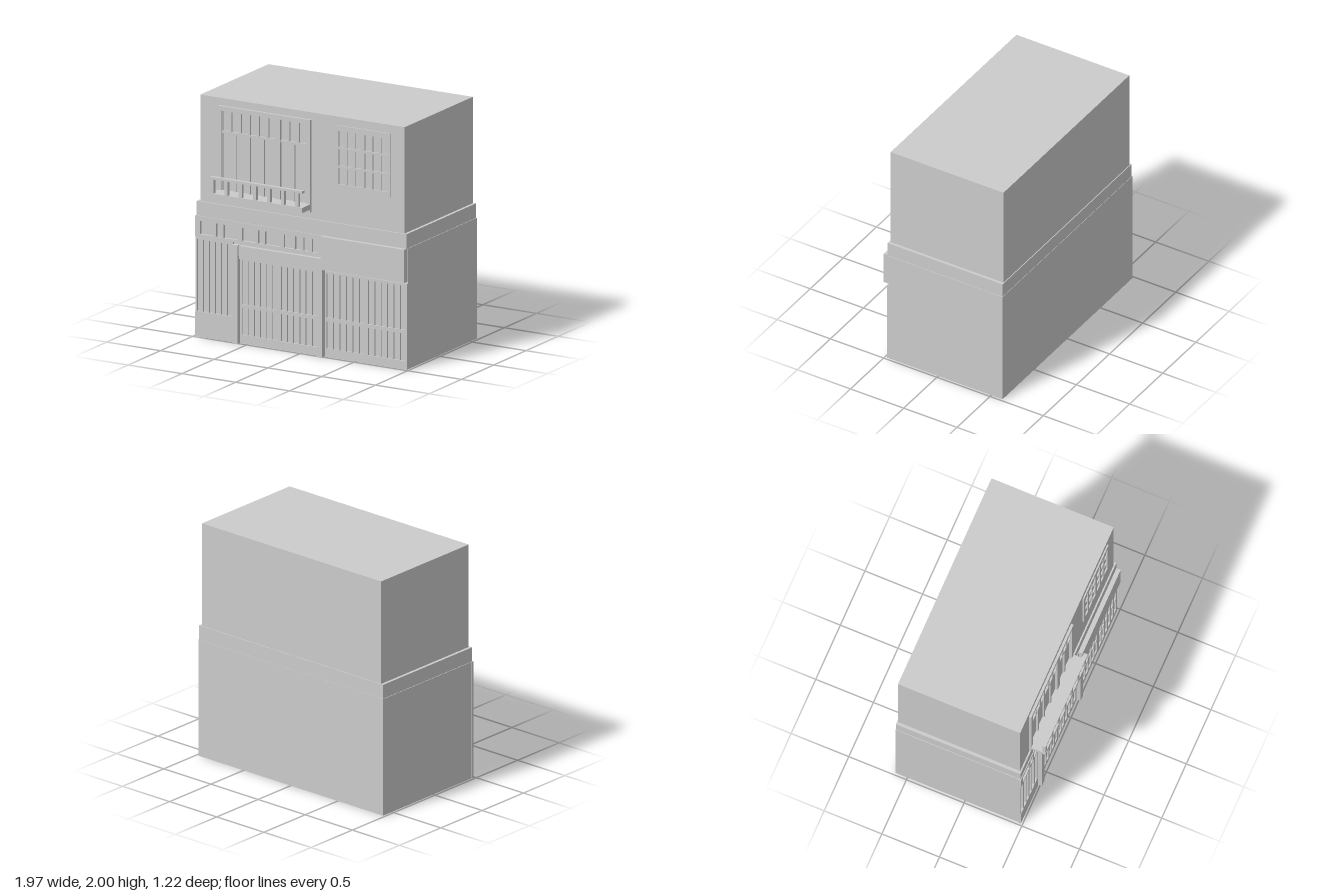
import * as THREE from 'three';

const WALL = 0.465; // plane of the front wall
const material = new THREE.MeshStandardMaterial({ color: 0xcccccc, flatShading: true });
const openMaterial = new THREE.MeshStandardMaterial({ color: 0xcccccc, flatShading: true, side: THREE.DoubleSide });

// Box given by its limits on each axis
function box(parent, name, x0, x1, y0, y1, z0, z1, mat = material) {
  const mesh = new THREE.Mesh(new THREE.BoxGeometry(x1 - x0, y1 - y0, z1 - z0), mat);
  mesh.position.set((x0 + x1) / 2, (y0 + y1) / 2, (z0 + z1) / 2);
  mesh.name = name;
  parent.add(mesh);
  return mesh;
}

// Flat panel on the front wall with rectangular openings: every column crossed with every row
function grille(parent, name, [x0, x1, y0, y1], front, grids) {
  const trace = (path, a, b, c, d) =>
    path.moveTo(a, c).lineTo(b, c).lineTo(b, d).lineTo(a, d).closePath();
  const shape = trace(new THREE.Shape(), x0, x1, y0, y1) || null;
  const panel = shape instanceof THREE.Shape ? shape : new THREE.Shape([
    new THREE.Vector2(x0, y0), new THREE.Vector2(x1, y0),
    new THREE.Vector2(x1, y1), new THREE.Vector2(x0, y1)]);
  for (const { columns, rows } of grids)
    for (const [a, b] of columns)
      for (const [c, d] of rows)
        panel.holes.push(new THREE.Path([
          new THREE.Vector2(a, c), new THREE.Vector2(a, d),
          new THREE.Vector2(b, d), new THREE.Vector2(b, c)]));
  const geometry = new THREE.ExtrudeGeometry(panel, { depth: front - WALL, bevelEnabled: false });
  const mesh = new THREE.Mesh(geometry, material);
  mesh.position.z = WALL;
  mesh.name = name;
  parent.add(mesh);
}

// n equal openings between x0 and x1, separated by bars
function columns(x0, x1, n, bar) {
  const w = (x1 - x0 - bar * (n - 1)) / n;
  return Array.from({ length: n }, (_, i) => [x0 + i * (w + bar), x0 + i * (w + bar) + w]);
}

function createBody() {
  const body = new THREE.Group();
  body.name = 'building';
  // Ground storey is a shell, open underneath
  const lower = box(body, 'groundStorey', -0.98, 0.98, 0, 1, -0.605, WALL, openMaterial);
  const index = Array.from(lower.geometry.index.array);
  index.splice(18, 6);
  lower.geometry.setIndex(index);
  lower.geometry.clearGroups();
  box(body, 'storeyBand', -0.975, 0.975, 1, 1.12, -0.602, 0.478);
  box(body, 'upperStorey', -0.95, 0.95, 1.12, 2, -0.595, WALL);
  return body;
}

function createShopFront() {
  const shop = new THREE.Group();
  shop.name = 'shopFront';

  // Transom with panes of uneven width
  const panes = [[-0.94, -0.81], [-0.79, -0.74], [-0.72, -0.59], [-0.55, -0.415], [-0.4, -0.35],
    [-0.335, -0.2], [-0.16, -0.065], [-0.055, 0], [0.02, 0.08], [0.1, 0.155]];
  grille(shop, 'transom', [-0.985, 0.2, 0.83, 1], 0.485, [{ columns: panes, rows: [[0.85, 0.96]] }]);
  box(shop, 'signPanel', 0.2, 0.975, 0.725, 1, WALL, 0.515);

  // Slatted window above a plain base
  grille(shop, 'slattedWindow', [-0.985, -0.635, 0.205, 0.83], 0.482,
    [{ columns: columns(-0.97, -0.65, 6, 0.014), rows: [[0.21, 0.805]] }]);
  box(shop, 'windowBase', -0.985, -0.635, 0, 0.205, WALL, 0.485);

  // Doorway posts and lintel
  box(shop, 'leftPost', -0.625, -0.575, 0, 0.815, WALL, 0.515);
  box(shop, 'rightPost', 0.16, 0.21, 0, 0.815, WALL, 0.515);
  box(shop, 'lintel', -0.575, 0.16, 0.725, 0.81, WALL, 0.5);
  box(shop, 'doorTrack', -0.575, 0.16, 0.7, 0.725, WALL, 0.49);

  // Sliding doors, two leaves in each opening
  const rows = [[0.07, 0.295], [0.325, 0.69]];
  const leaves = [[-0.575, -0.21, 0.7], [-0.21, 0.16, 0.7], [0.215, 0.6, 0.71], [0.6, 0.982, 0.71]];
  leaves.forEach(([x0, x1, top], i) =>
    grille(shop, 'slidingDoor' + (i + 1), [x0, x1, 0, top], i % 2 ? 0.48 : 0.477,
      [{ columns: columns(x0 + 0.018, x1 - 0.02, 6, 0.015), rows }]));
  return shop;
}

function createBalconyWindow() {
  const group = new THREE.Group();
  group.name = 'balconyWindow';
  // Surround
  grille(group, 'surround', [-0.775, 0.085, 1.175, 1.94], 0.487,
    [{ columns: [[-0.74, 0.05]], rows: [[1.2, 1.905]] }]);
  // Sashes: small panes over tall ones, on either side of a wide mullion
  const sides = [[-0.735, -0.24, 6, 4], [-0.195, 0.045, 3, 2]];
  grille(group, 'sashes', [-0.74, 0.05, 1.2, 1.905], 0.48, [
    { columns: sides.flatMap(([a, b, n]) => columns(a, b, n, 0.018)), rows: [[1.735, 1.9]] },
    { columns: sides.flatMap(([a, b, , n]) => columns(a, b, n, 0.02)), rows: [[1.24, 1.715]] }]);
  box(group, 'mullion', -0.24, -0.195, 1.24, 1.92, WALL, 0.487);

  // Shallow balcony with an open railing
  box(group, 'balconyFloor', -0.775, 0.085, 1.2, 1.243, WALL, 0.61);
  box(group, 'handrail', -0.775, 0.085, 1.36, 1.38, 0.578, 0.61);
  for (let i = 0; i < 7; i++) {
    const x = -0.755 + i * 0.1313;
    box(group, 'railPost', x - 0.015, x + 0.015, 1.243, 1.36, 0.58, 0.608);
  }
  return group;
}

export function createModel() {
  const model = new THREE.Group();
  model.name = 'shopHouse';
  model.add(createBody(), createShopFront(), createBalconyWindow());
  // Small upper window with two sashes
  grille(model, 'smallWindow', [0.32, 0.82, 1.4, 1.93], 0.477, [{
    columns: [...columns(0.345, 0.555, 3, 0.016), ...columns(0.585, 0.795, 3, 0.016)],
    rows: [[1.445, 1.58], [1.6, 1.735], [1.755, 1.885]],
  }]);
  return model;
}
